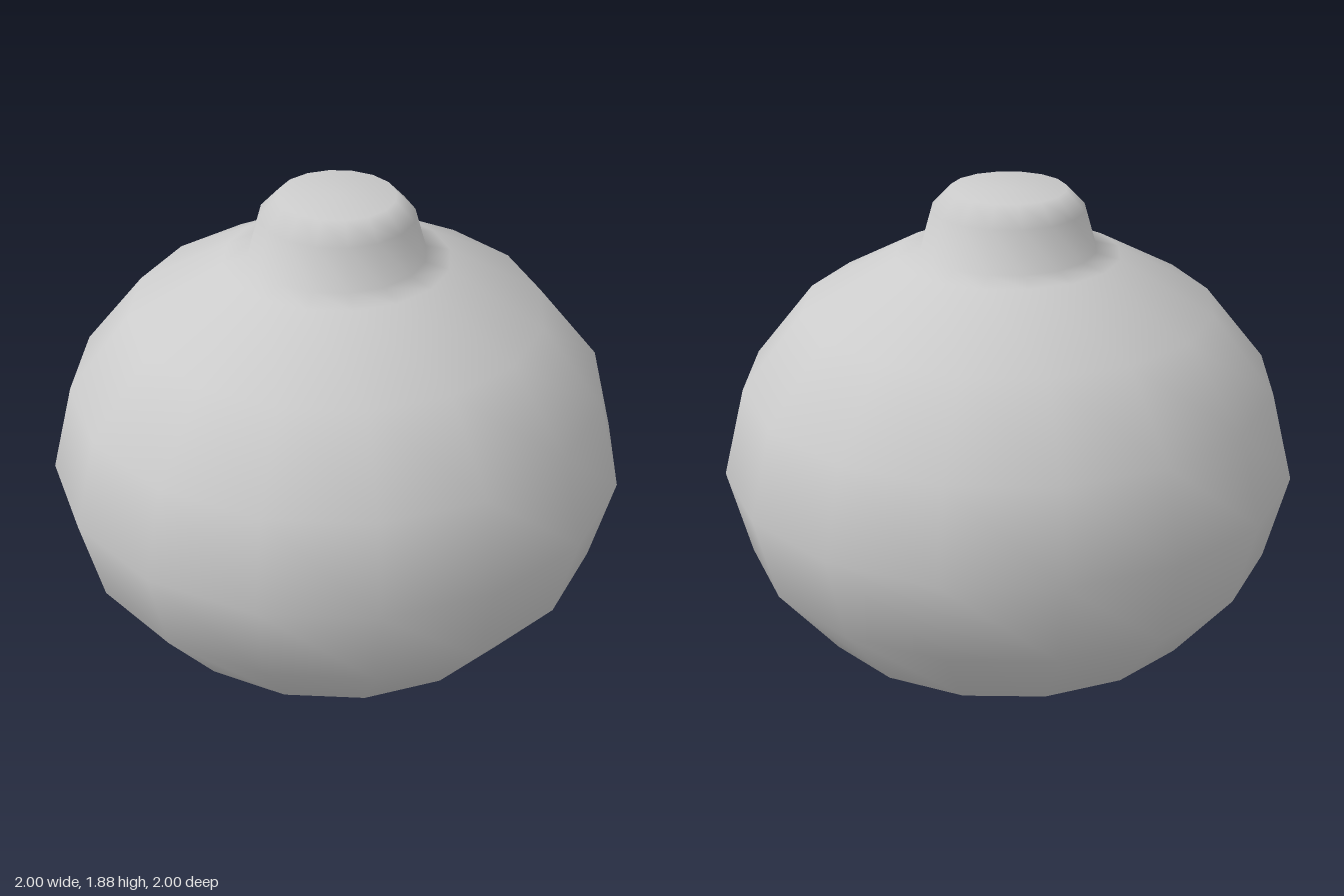
import * as THREE from 'three';

const SIDES = 16;

// Silhouette from the foot up: [half width across flats, height]
const PROFILE = [
  // foot
  [0, 0], [0.197, 0], [0.197, 0.075],
  // round belly
  [0.385, 0.12], [0.707, 0.296], [0.922, 0.57], [1, 0.885],
  [0.922, 1.2], [0.707, 1.472], [0.385, 1.65],
  // knob with a chamfered top
  [0.302, 1.67], [0.262, 1.812], [0.198, 1.88], [0, 1.88],
];

export function createModel() {
  const group = new THREE.Group();
  group.name = 'roundVessel';

  // Flats face the axes, so corners lie a little further out
  const toCorner = 1 / Math.cos(Math.PI / SIDES);
  const points = PROFILE.map(([r, y]) => new THREE.Vector2(r * toCorner, y));

  // One smooth turned shell: foot, belly and knob
  const shell = new THREE.Mesh(
    new THREE.LatheGeometry(points, SIDES, Math.PI / SIDES),
    new THREE.MeshStandardMaterial({ color: 0xcccccc }),
  );
  shell.name = 'bodyWithFootAndKnob';
  group.add(shell);

  return group;
}
